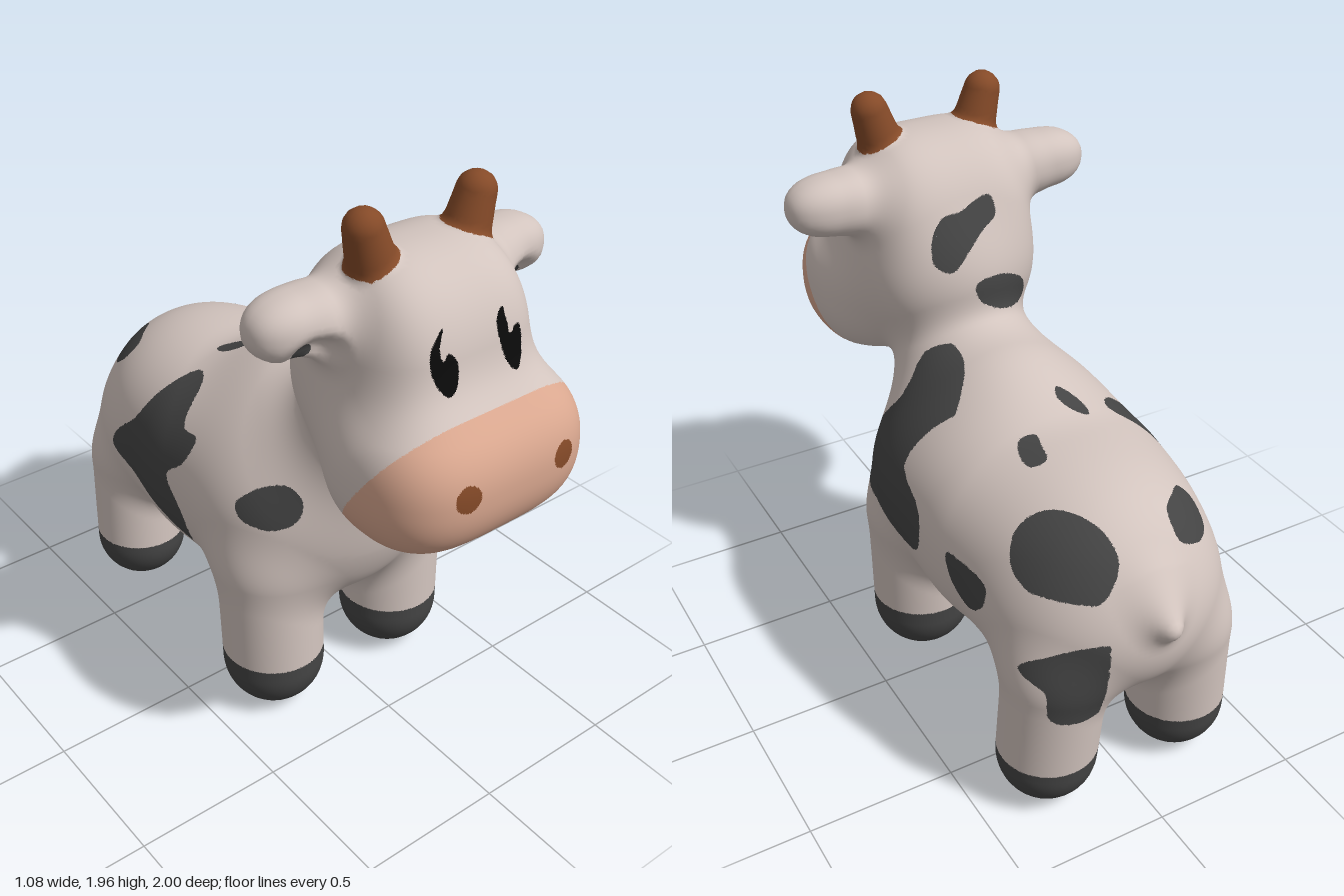
import * as THREE from 'three';
// ---------- soft shape helpers: negative inside, positive outside ----------
const blend = (a, b, k) => {
  const h = Math.max(k - Math.abs(a - b), 0) / k;
  return Math.min(a, b) - h * h * k / 4;
};
// Ellipsoid; powers above 2 make it boxier, with its own power px across x
const egg = ([cx, cy, cz], [rx, ry, rz], p = 2, px = p) => {
  const m = Math.min(rx, ry, rz);
  return (x, y, z) => {
    const a = Math.abs(x - cx) / rx, b = Math.abs(y - cy) / ry, c = Math.abs(z - cz) / rz;
    return ((px === 2 ? Math.sqrt(a * a + b * b + c * c) : (a ** px + b ** p + c ** p) ** (1 / p)) - 1) * m;
  };
};
// Tapered limb with round ends
const limb = ([ax, ay, az], ra, [bx, by, bz], rb) => {
  const dx = bx - ax, dy = by - ay, dz = bz - az, l2 = dx * dx + dy * dy + dz * dz;
  return (x, y, z) => {
    const px = x - ax, py = y - ay, pz = z - az;
    const t = Math.min(1, Math.max(0, (px * dx + py * dy + pz * dz) / l2));
    const ex = px - t * dx, ey = py - t * dy, ez = pz - t * dz;
    return Math.sqrt(ex * ex + ey * ey + ez * ez) - ra - t * (rb - ra);
  };
};

// ---------- parts (x is mirrored, so each pair is given once) ----------
const chest = egg([0, 0.75, 0.1], [0.432, 0.385, 0.362]);
const withers = egg([0, 0.85, 0.03], [0.33, 0.383, 0.38]);
const belly = egg([0, 0.735, -0.22], [0.44, 0.382, 0.5], 2.2);
const rump = egg([0, 0.74, -0.52], [0.385, 0.36, 0.4]);
const hips = egg([0, 0.655, -0.605], [0.375, 0.27, 0.332]);
const frontLeg = limb([0.257, 0.177, 0.18], 0.174, [0.264, 0.56, 0.17], 0.176);
const hindLeg = limb([0.248, 0.17, -0.69], 0.165, [0.232, 0.5, -0.708], 0.168);
const neck = limb([0, 0.85, 0.18], 0.27, [0, 1.25, 0.42], 0.215);
const tail = limb([0, 0.825, -0.84], 0.065, [0, 0.772, -0.976], 0.022);
const udder = egg([0, 0.36, -0.26], [0.23, 0.12, 0.255]);
const cranium = egg([0, 1.46, 0.525], [0.31, 0.36, 0.295], 2.2, 4);
const cheeks = egg([0, 1.36, 0.45], [0.305, 0.29, 0.285]);
const muzzle = egg([0, 1.215, 0.72], [0.382, 0.243, 0.275], 2.3, 3.8);
const ear = egg([0.38, 1.642, 0.467], [0.163, 0.1, 0.108], 2.3);
const earRoot = egg([0.29, 1.62, 0.49], [0.1, 0.1, 0.115]);
const earHollow = egg([0.378, 1.57, 0.59], [0.08, 0.055, 0.08]);
const horn = limb([0.163, 1.75, 0.54], 0.079, [0.206, 1.899, 0.54], 0.061);

const bodyField = (x, y, z) => {
  let d = blend(blend(chest(x, y, z), withers(x, y, z), 0.1), belly(x, y, z), 0.1);
  d = blend(blend(d, rump(x, y, z), 0.08), hips(x, y, z), 0.08);
  d = blend(d, neck(x, y, z), 0.1);
  d = blend(d, Math.min(frontLeg(x, y, z), hindLeg(x, y, z)), 0.1);
  return blend(blend(d, tail(x, y, z), 0.1), udder(x, y, z), 0.04);
};
const headField = (x, y, z) => {
  const d = blend(blend(cranium(x, y, z), cheeks(x, y, z), 0.06), muzzle(x, y, z), 0.12);
  const e = blend(ear(x, y, z), earRoot(x, y, z), 0.06);
  return blend(d, -blend(-e, earHollow(x, y, z), 0.04), 0.07);
};
const field = (sx, y, z) => {
  const x = Math.abs(sx);
  return blend(blend(bodyField(x, y, z), headField(x, y, z), 0.05), horn(x, y, z), 0.02);
};

// ---------- painted regions: smooth closed outlines in a flat projection ----------
const region = pts => {
  const c = new THREE.CatmullRomCurve3(pts.map(([a, b]) => new THREE.Vector3(a, b, 0)), true).getPoints(48);
  const box = new THREE.Box3().setFromPoints(c);
  return (u, v) => {
    if (u < box.min.x || v < box.min.y || u > box.max.x || v > box.max.y) return false;
    let inside = false;
    for (let i = 0, j = c.length - 1; i < c.length; j = i++)
      if ((c[i].y > v) !== (c[j].y > v) &&
        u < (c[j].x - c[i].x) * (v - c[i].y) / (c[j].y - c[i].y) + c[i].x) inside = !inside;
    return inside;
  };
};
const oval = (u, v, cu, cv, ru, rv) => ((u - cu) / ru) ** 2 + ((v - cv) / rv) ** 2 < 1;
// Left flank patches (z, y)
const saddle = region([[0.2, 1.17], [0.13, 1.22], [0, 1.22], [-0.09, 1.2], [-0.12, 1.14], [-0.06, 1.05], [-0.03, 0.92],
  [-0.18, 0.84], [-0.2, 0.74], [-0.15, 0.67], [0, 0.66], [0.12, 0.71], [0.36, 0.71], [0.38, 0.8],
  [0.32, 0.88], [0.25, 0.95], [0.18, 1.05]]);
const flank = region([[-0.36, 0.8], [-0.42, 0.81], [-0.56, 0.79], [-0.56, 0.72], [-0.48, 0.66], [-0.42, 0.68], [-0.38, 0.73]]);
const thigh = region([[-0.74, 0.61], [-0.8, 0.67], [-0.9, 0.73], [-1.05, 0.72], [-1.05, 0.42], [-0.85, 0.44], [-0.83, 0.56]]);
// Right flank patch (z, y) and right shoulder patch (x, y)
const rightFlank = region([[-0.27, 1.08], [-0.2, 1.07], [-0.15, 0.97], [-0.07, 0.97], [-0.09, 0.88], [-0.17, 0.8],
  [-0.08, 0.68], [-0.09, 0.55], [-0.24, 0.6], [-0.42, 0.66], [-0.57, 0.7], [-0.54, 0.77], [-0.42, 0.88], [-0.35, 1.0]]);
const shoulder = region([[-0.4, 0.82], [-0.4, 0.87], [-0.34, 0.94], [-0.29, 0.96], [-0.27, 0.92], [-0.29, 0.85], [-0.35, 0.81]]);
// Patches on the back (x, z)
const backPatches = [
  [[0.1, -0.83], [0.16, -0.86], [0.28, -0.8], [0.34, -0.62], [0.3, -0.57], [0.22, -0.59], [0.14, -0.68], [0.1, -0.77]],
  [[-0.27, -0.74], [-0.2, -0.81], [-0.12, -0.82], [-0.12, -0.75], [-0.18, -0.69], [-0.23, -0.65], [-0.27, -0.67]],
  [[0.12, -0.45], [0.17, -0.44], [0.17, -0.37], [0.14, -0.32], [0.09, -0.33], [0.1, -0.39]],
  [[-0.12, -0.31], [-0.08, -0.29], [-0.05, -0.23], [-0.07, -0.19], [-0.1, -0.21], [-0.13, -0.27]]].map(region);
// Patches behind the head, and the eyes (x, y)
const headPatches = [
  [[-0.08, 1.65], [-0.09, 1.59], [-0.03, 1.55], [0.03, 1.5], [0.1, 1.44], [0.15, 1.47], [0.14, 1.56], [0.1, 1.61],
    [0.03, 1.62], [-0.02, 1.64]],
  [[0.02, 1.39], [-0.08, 1.4], [-0.18, 1.34], [-0.19, 1.27], [-0.1, 1.27], [0.01, 1.33]]].map(region);
const eyes = [
  [[-0.115, 1.67], [-0.165, 1.62], [-0.175, 1.57], [-0.16, 1.51], [-0.135, 1.485], [-0.1, 1.51],
    [-0.09, 1.57], [-0.115, 1.6], [-0.135, 1.58], [-0.14, 1.62]],
  [[0.1, 1.665], [0.07, 1.64], [0.07, 1.58], [0.095, 1.5], [0.12, 1.485], [0.15, 1.52],
    [0.155, 1.6], [0.13, 1.6], [0.115, 1.57], [0.105, 1.62]]].map(region);

// Which named part a surface point belongs to
function partAt(x, y, z) {
  const ax = Math.abs(x);
  if (y > 1.765 && horn(ax, y, z) < 0.008) return 'horns';
  if (y < (z > -0.2 ? 0.225 : 0.2)) return 'hooves';
  if (y < 0.35 && udder(ax, y, z) < 0.012) return 'udder';
  if (z > 0.12 && z < 0.34 && headPatches.some(p => p(x, y)) && y > 1.24) return 'headPatches';
  if (y > 0.95 && headField(ax, y, z) < bodyField(ax, y, z)) {
    if (z > 0.59 + 0.69 * (y - 1))
      return z > 0.85 && oval(ax, y, 0.183, 1.25, 0.042, 0.042) ? 'nostrils' : 'muzzle';
    if (z > 0.6 && eyes.some(e => e(x, y))) return 'eyes';
    if (z > 0.47 && oval(ax, y, 0.395, 1.57, 0.036, 0.028)) return 'earPatches';
    return ax > 0.31 && y > 1.5 ? 'ears' : 'head';
  }
  const saddleEdge = y < 1 ? 0.12 : 0.13 + 3 * (0.1 - z) ** 2;
  if ((x > saddleEdge && saddle(z, y)) || (x > 0.17 && (flank(z, y) || thigh(z, y))) ||
    (x < 0 && (rightFlank(z, y) || (z > 0.1 && shoulder(x, y)))) ||
    (y > 0.85 && backPatches.some(p => p(x, z)))) return 'bodyPatches';
  return y < 0.42 ? 'legs' : 'body';
}

// ---------- skin the blended shape on a grid of cells, sorting faces by part ----------
function buildSkin(step, lo, hi) {
  const n = lo.map((v, i) => Math.ceil((hi[i] - v) / step) + 1);
  const stride = [1, n[0], n[0] * n[1]];
  const val = new Float32Array(n[0] * n[1] * n[2]), cell = new Map(), out = {};
  const eachPoint = visit => {
    for (let k = 0, i = 0; k < n[2]; k++) for (let j = 0; j < n[1]; j++) for (let m = 0; m < n[0]; m++) visit(i++, [m, j, k]);
  };
  eachPoint((i, g) => { val[i] = field(...g.map((v, d) => lo[d] + v * step)); });
  const vertex = (x, y, z) => {
    const e = 0.004;
    const g = new THREE.Vector3(field(x + e, y, z) - field(x - e, y, z), field(x, y + e, z) - field(x, y - e, z),
      field(x, y, z + e) - field(x, y, z - e)).normalize();
    return { p: [x, y, z], n: g.toArray(), part: partAt(x, y, z) };
  };
  // One vertex per crossed cell, at the mean of its edge crossings
  const cellVertex = g => {
    const i = g[0] + g[1] * stride[1] + g[2] * stride[2], s = [0, 0, 0];
    if (cell.has(i)) return cell.get(i);
    let count = 0;
    for (let c = 0; c < 8; c++) for (let a = 0; a < 3; a++) {
      if (c >> a & 1) continue;
      const o = [c & 1, c >> 1 & 1, c >> 2 & 1];
      const q = i + o[0] + o[1] * stride[1] + o[2] * stride[2];
      const f0 = val[q], f1 = val[q + stride[a]];
      if ((f0 < 0) === (f1 < 0)) continue;
      o[a] += f0 / (f0 - f1);
      for (let d = 0; d < 3; d++) s[d] += o[d];
      count++;
    }
    cell.set(i, vertex(...g.map((v, d) => lo[d] + (v + s[d] / count) * step)));
    return cell.get(i);
  };
  // Triangles on a colour border are split to keep the border clean
  const addTriangle = (a, b, c, depth) => {
    if (depth && (a.part !== b.part || b.part !== c.part)) {
      const mid = (u, v) => vertex(...u.p.map((w, d) => (w + v.p[d]) / 2));
      const ab = mid(a, b), bc = mid(b, c), ca = mid(c, a);
      [[a, ab, ca], [ab, b, bc], [ca, bc, c], [ab, bc, ca]].forEach(t => addTriangle(...t, depth - 1));
      return;
    }
    const o = out[b.part === c.part ? b.part : a.part] ??= { position: [], normal: [] };
    for (const v of [a, b, c]) { o.position.push(...v.p); o.normal.push(...v.n); }
  };
  // One quad around every grid edge that crosses the surface
  eachPoint((i, g) => {
    for (let a = 0; a < 3; a++) {
      const inside = val[i] < 0, b = (a + 1) % 3, c = (a + 2) % 3;
      if (g[a] === n[a] - 1 || inside === (val[i + stride[a]] < 0)) continue;
      const q = [[0, 0], [1, 0], [1, 1], [0, 1]].map(([u, v]) =>
        cellVertex(g.map((w, d) => w - (d === b ? u : d === c ? v : 0))));
      if (!inside) q.reverse();
      addTriangle(q[0], q[1], q[2], 2);
      addTriangle(q[0], q[2], q[3], 2);
    }
  });
  return out;
}

export function createModel() {
  const paint = (name, color) => Object.assign(new THREE.MeshStandardMaterial({ color }), { name });
  const hide = paint('paleHide', 0xd2c4be), charcoal = paint('charcoal', 0x444444);
  const pink = paint('pinkSkin', 0xd9a78f), brown = paint('brownHorn', 0x854a28), black = paint('eyeBlack', 0x0a0a0a);
  const colours = { body: hide, legs: hide, head: hide, ears: hide, bodyPatches: charcoal, headPatches: charcoal,
    earPatches: charcoal, hooves: charcoal, muzzle: pink, udder: pink, horns: brown, nostrils: brown, eyes: black };
  const model = new THREE.Group();
  model.name = 'cow';
  for (const [name, data] of Object.entries(buildSkin(0.0163, [-0.6, -0.05, -1.05], [0.6, 2.02, 1.05]))) {
    const geometry = new THREE.BufferGeometry();
    for (const key of ['position', 'normal']) geometry.setAttribute(key, new THREE.Float32BufferAttribute(data[key], 3));
    model.add(Object.assign(new THREE.Mesh(geometry, colours[name]), { name }));
  }
  return model;
}
